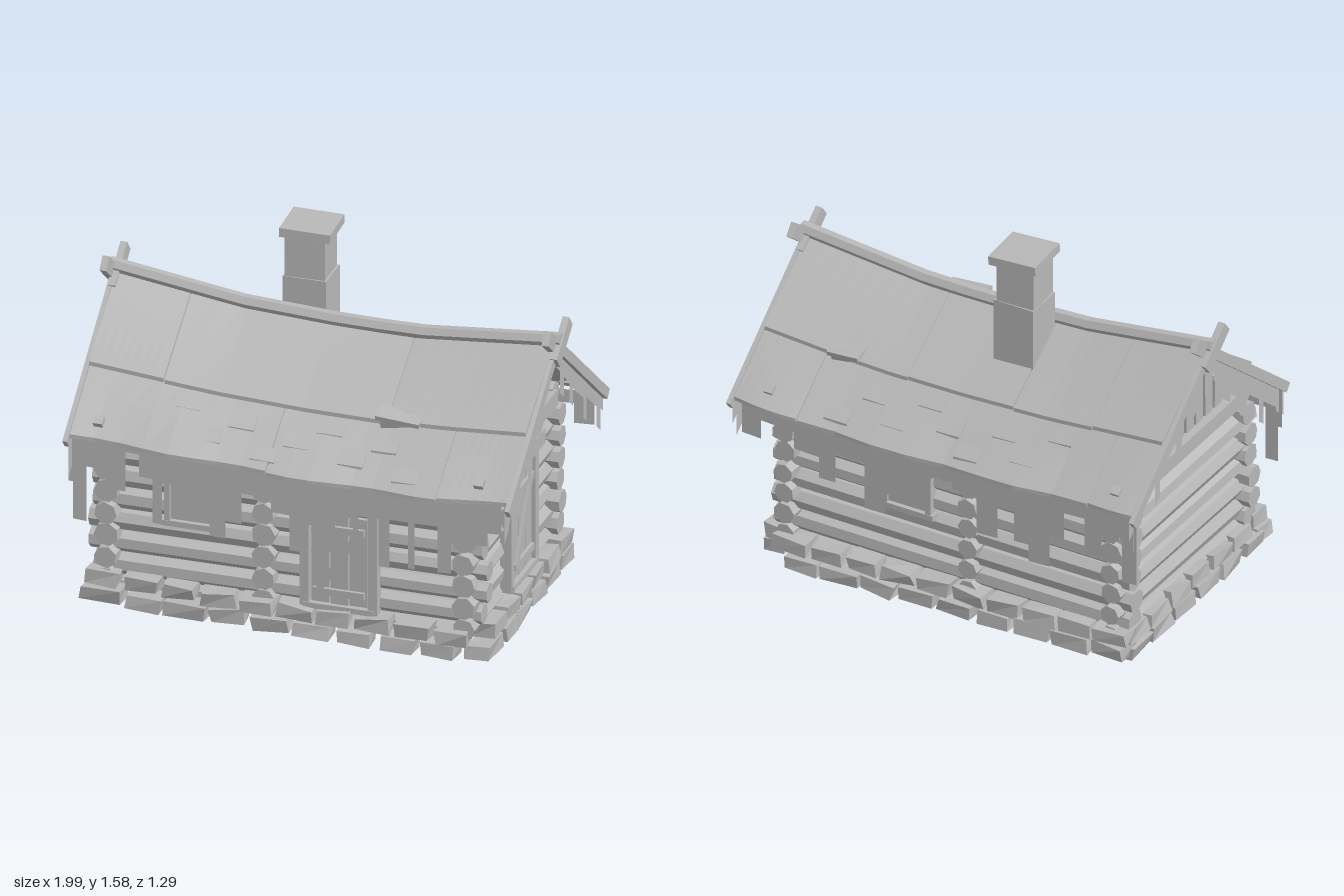
import * as THREE from 'three';

const grey = new THREE.MeshStandardMaterial({ color: 0xb8b8b8, flatShading: true, side: THREE.DoubleSide });
grey.name = 'weathered grey';

// seeded random, centred on zero
function randomiser(seed) {
  return () => {
    seed = (seed * 16807) % 2147483647;
    return seed / 2147483647 - 0.5;
  };
}

// sagging roof surface
function pick(points, x) {
  if (x <= points[0][0]) return points[0][1];
  for (let i = 1; i < points.length; i++) {
    const [a, ya] = points[i - 1], [b, yb] = points[i];
    if (x <= b) return ya + (yb - ya) * (x - a) / (b - a);
  }
  return points[points.length - 1][1];
}
const ridgeY = x => pick([[-1, 1.31], [-0.4, 1.225], [0, 1.205], [0.35, 1.2], [1, 1.26]], x);
const eaveY = x => pick([[-1, 0.8], [-0.5, 0.775], [0, 0.755], [0.6, 0.75], [1, 0.77]], x);
const roofY = (x, z) => ridgeY(x) + (eaveY(x) - ridgeY(x)) * Math.abs(z) / 0.62;

export function createModel() {
  const model = new THREE.Group();
  model.name = 'logCabin';
  const rnd = randomiser(4242);

  function add(name, geo, x = 0, y = 0, z = 0, rx = 0, ry = 0, rz = 0) {
    const mesh = new THREE.Mesh(geo, grey);
    mesh.name = name;
    mesh.position.set(x, y, z);
    mesh.rotation.set(rx, ry, rz);
    model.add(mesh);
    return mesh;
  }
  const box = (name, w, h, d, ...place) => add(name, new THREE.BoxGeometry(w, h, d), ...place);

  // rough stone: a box with its eight corners pushed about
  function stone(w, h, d, x, y, z, ry) {
    const geo = new THREE.BoxGeometry(w, h, d), p = geo.attributes.position;
    const push = Array.from({ length: 8 }, () => [rnd() * 0.02, rnd() * 0.012, rnd() * 0.02]);
    for (let i = 0; i < p.count; i++) {
      const c = push[(p.getX(i) > 0 ? 1 : 0) + (p.getY(i) > 0 ? 2 : 0) + (p.getZ(i) > 0 ? 4 : 0)];
      p.setXYZ(i, p.getX(i) + c[0], p.getY(i) + c[1], p.getZ(i) + c[2]);
    }
    add('foundationStone', geo, x, y, z, 0, ry, rnd() * 0.12);
  }
  for (const [y, out, step] of [[0.07, 0.01, 0.185], [0.138, 0, 0.17]]) {
    for (const s of [-1, 1]) {
      for (let x = -0.83; x < 0.83; x += step)
        stone(step * (0.88 + rnd() * 0.2), 0.06, 0.1, x, y - x * 0.025 + rnd() * 0.012, s * (0.54 + out), rnd() * 0.12);
      for (let z = -0.46; z < 0.5; z += step)
        stone(0.1, 0.062, step * (0.84 + rnd() * 0.2), s * (0.83 + out) - 0.025, y - s * 0.012 + rnd() * 0.01, z, rnd() * 0.12);
    }
  }

  // floor boards
  for (let i = 0; i < 6; i++) box('floorBoard', 1.6, 0.025, 0.168, -0.035, 0.12, -0.425 + i * 0.17);

  // log walls with crossed corners
  function log(name, length, x, y, z, alongX) {
    const r = 0.051 + rnd() * 0.006;
    const geo = new THREE.CylinderGeometry(r, r * (0.92 + rnd() * 0.1), length * (1 + rnd() * 0.03), 7);
    geo.rotateY(rnd() * 0.8);
    if (alongX) geo.rotateZ(Math.PI / 2); else geo.rotateX(Math.PI / 2);
    add(name, geo, x, y, z);
  }
  for (let i = 0; i < 6; i++) {
    for (const z of [-0.475, 0.475]) log('longWallLog', 1.72, -0.035, 0.205 + i * 0.1, z, true);
    for (const x of [-0.82, -0.13, 0.75]) log('crossWallLog', 1.12, x, 0.155 + i * 0.1, 0, false);
  }
  for (const z of [-0.475, 0.475]) log('topPlate', 1.66, -0.035, 0.8, z, true);

  // gable ends: tie beam and spaced vertical planks
  for (const x of [-0.82, 0.77]) {
    box('tieBeam', 0.07, 0.07, 0.92, x + Math.sign(x) * 0.01, 0.785, 0);
    for (let i = -5; i <= 5; i++) {
      const z = i * 0.078, top = roofY(x, z) - 0.05 + rnd() * 0.03;
      box('gablePlank', 0.02, top - 0.78, 0.06, x, (top + 0.78) / 2, z, rnd() * 0.04);
    }
  }

  // plank door with frame and Z brace, built facing +z
  function door(name, w, h) {
    const group = new THREE.Group();
    group.name = name;
    const part = (n, bw, bh, bd, x, y, z, rz = 0) => group.add(box(n, bw, bh, bd, x, y, z, 0, 0, rz));
    for (const s of [-1, 1]) part('doorPost', 0.04, h + 0.03, 0.05, s * (w / 2 + 0.025), h / 2, 0);
    part('doorLintel', w + 0.2, 0.065, 0.06, 0, h + 0.045, 0.005);
    part('doorSill', w + 0.06, 0.025, 0.06, 0, 0, 0);
    for (let i = -1; i <= 1; i++) part('doorPlank', w / 3 - 0.006, h - 0.02 - Math.abs(i) * 0.01, 0.02, i * w / 3, h / 2, 0);
    const y0 = h * 0.16, y1 = h * 0.83, run = w * 0.72;
    for (const y of [y0, y1]) part('doorBar', w * 0.9, 0.03, 0.015, 0, y, 0.018);
    part('doorBrace', Math.hypot(run, y1 - y0), 0.03, 0.014, 0, (y0 + y1) / 2, 0.018, Math.atan2(y1 - y0, run));
    model.add(group);
    return group;
  }
  const sideDoor = door('sideDoor', 0.26, 0.49);
  sideDoor.position.set(0.805, 0.18, 0);
  sideDoor.rotation.y = Math.PI / 2;
  door('frontDoor', 0.25, 0.43).position.set(0.2, 0.17, 0.53);

  // framed windows
  for (const [s, x] of [[1, -0.45], [-1, 0.17]]) {
    box('windowShutter', 0.19, 0.18, 0.02, x, 0.55, s * 0.52);
    for (const k of [-1, 1]) {
      box('windowJamb', 0.025, 0.23, 0.04, x + k * 0.105, 0.55, s * 0.525);
      box('windowRail', 0.26, 0.025, 0.045, x, 0.55 + k * 0.105, s * 0.525);
    }
  }

  // roof sheet: a thin box draped over the sagging roof surface
  function sheet(name, x0, x1, z0, z1, side, lift0, lift1, thick = 0.018, wave = 0) {
    const geo = new THREE.BoxGeometry(x1 - x0, thick, z1 - z0, 8, 1, 2);
    geo.translate((x0 + x1) / 2, 0, side * (z0 + z1) / 2);
    const p = geo.attributes.position;
    for (let i = 0; i < p.count; i++) {
      const x = p.getX(i), z = p.getZ(i), t = (Math.abs(z) - z0) / (z1 - z0);
      p.setY(i, p.getY(i) + roofY(x, z) + lift0 + (lift1 - lift0) * t);
      p.setZ(i, z + side * wave * t * Math.sin(x * 11 + side));
    }
    add(name, geo);
  }
  const seams = { 1: [[-0.96, -0.63, 0.35, 0.96], [-0.96, -0.1, 0.65, 0.96]], '-1': [[-0.96, -0.62, -0.24, 0.27, 0.96], [-0.96, -0.74, 0.66, 0.96]] };
  for (const side of [1, -1]) {
    const [upper, lower] = seams[side];
    for (let i = 1; i < upper.length; i++)
      sheet('upperRoofSheet', upper[i - 1] + 0.002, upper[i] - 0.002, 0, 0.365, side, 0, 0.024 + (i % 2) * 0.005);
    for (let i = 1; i < lower.length; i++)
      sheet('lowerRoofSheet', lower[i - 1] + 0.002, lower[i] - 0.002, 0.32, 0.612, side, 0, (i % 2) * 0.006, 0.018, 0.01);
    // flush shingles, pegs and a lifted slab
    for (let i = 0; i < 9; i++) {
      const x = -0.56 + i * 0.125, z = 0.38 + ((i * 3) % 5) * 0.035;
      sheet('shingle', x, x + 0.11, z, z + 0.055, side, 0.004, 0.006);
    }
    for (const x of [-0.85, 0.82]) box('roofPeg', 0.04, 0.04, 0.04, x, roofY(x, 0.55) + 0.015, side * 0.55, side * 0.6);
    const hx = side > 0 ? 0.4 : 0.57, w = side > 0 ? 0.19 : 0.15;
    box('liftedSlab', w, 0.02, 0.09, hx, roofY(hx, 0.35) + 0.04, side * 0.345, side * 0.2, 0, -0.08);
    box('slabProp', w * 0.85, 0.06, 0.06, hx, roofY(hx, 0.34) + 0.01, side * 0.34, side * 0.3, 0.15, 0);
  }

  // ridge log following the sag
  const ridge = new THREE.CylinderGeometry(0.032, 0.032, 1.98, 6, 10);
  ridge.rotateZ(Math.PI / 2);
  const rp = ridge.attributes.position;
  for (let i = 0; i < rp.count; i++) rp.setY(i, rp.getY(i) + ridgeY(rp.getX(i)) + 0.018);
  add('ridgeLog', ridge);

  // narrow barge boards with heavier crossed finials at the ridge
  for (const x of [-0.97, 0.97]) {
    const slope = (ridgeY(x) - eaveY(x)) / 0.62, angle = Math.atan(slope);
    for (const s of [-1, 1]) {
      box('bargeBoard', 0.02, 0.045, 0.63 / Math.cos(angle), x, ridgeY(x) - slope * 0.315 - 0.01, s * 0.315, s * angle);
      box('ridgeFinial', 0.03, 0.065, 0.16 / Math.cos(angle), x + s * 0.012, ridgeY(x) + slope * 0.02 - 0.015, s * -0.02, s * angle);
    }
  }

  // ragged hanging fringe: [start, end, drop] steps under an upper edge
  function fringe(name, steps, top) {
    const shape = new THREE.Shape();
    shape.moveTo(steps[0][0], top(steps[0][0]));
    for (const [a, b, drop] of steps) {
      shape.lineTo(a, top(a) - drop);
      shape.lineTo(b, top(b) - drop);
    }
    for (const [a] of [...steps, [steps[steps.length - 1][1]]].reverse()) shape.lineTo(a, top(a));
    return add(name, new THREE.ShapeGeometry(shape));
  }
  const frontSteps = [
    [-0.97, -0.95, 0.2], [-0.95, -0.89, 0.37], [-0.89, -0.79, 0.12], [-0.79, -0.72, 0.2], [-0.72, -0.66, 0.02],
    [-0.66, -0.6, 0.12], [-0.6, -0.56, 0.32], [-0.56, -0.35, 0.13], [-0.35, -0.28, 0.33], [-0.28, -0.21, 0.25],
    [-0.21, -0.08, 0.11], [-0.08, 0, 0.17], [0, 0.08, 0.33], [0.08, 0.17, 0.2], [0.17, 0.2, 0.31],
    [0.2, 0.28, 0.14], [0.28, 0.3, 0.3], [0.3, 0.39, 0.11], [0.39, 0.44, 0.34], [0.44, 0.52, 0.12],
    [0.52, 0.55, 0.33], [0.55, 0.65, 0.12], [0.65, 0.71, 0.33], [0.71, 0.87, 0.19], [0.87, 0.93, 0.13]];
  const backSteps = [
    [-0.97, -0.9, 0.33], [-0.9, -0.8, 0.12], [-0.8, -0.72, 0.24], [-0.72, -0.62, 0.07], [-0.62, -0.55, 0.2],
    [-0.55, -0.45, 0.35], [-0.45, -0.38, 0.27], [-0.38, -0.3, 0.13], [-0.3, -0.2, 0.28], [-0.2, -0.08, 0.1],
    [-0.08, 0.04, 0.07], [0.04, 0.14, 0.12], [0.14, 0.24, 0.22], [0.24, 0.34, 0.32], [0.34, 0.48, 0.1],
    [0.48, 0.56, 0.24], [0.56, 0.68, 0.14], [0.68, 0.84, 0.06], [0.84, 0.93, 0.15]];
  fringe('frontEaveFringe', frontSteps, eaveY).position.z = 0.595;
  fringe('backEaveFringe', backSteps, eaveY).position.z = -0.595;

  const gableSteps = [
    [-0.63, -0.6, 0.08], [-0.6, -0.55, 0.18], [-0.55, -0.42, 0.09], [-0.42, -0.38, 0.2], [-0.38, -0.25, 0.11],
    [-0.25, -0.2, 0.19], [-0.2, -0.13, 0.1], [-0.13, -0.08, 0.19], [-0.08, 0, 0.09], [0, 0.06, 0.09],
    [0.06, 0.13, 0.13], [0.13, 0.2, 0.2], [0.2, 0.27, 0.16], [0.27, 0.33, 0.24], [0.33, 0.43, 0.12],
    [0.43, 0.47, 0.23], [0.47, 0.57, 0.12], [0.57, 0.63, 0.14]];
  for (const x of [-0.955, 0.955]) {
    const rag = fringe('gableFringe', gableSteps, z => roofY(x, z) - 0.01);
    rag.rotation.y = -Math.PI / 2;
    rag.position.x = x;
  }

  // chimney in stacked blocks with a cap
  box('chimneyBase', 0.19, 0.3, 0.18, -0.15, 1.22, -0.12);
  box('chimneyStack', 0.175, 0.22, 0.17, -0.152, 1.46, -0.12, 0, 0.03, 0);
  box('chimneyCap', 0.22, 0.04, 0.22, -0.148, 1.575, -0.12, 0, 0.05, -0.03);

  return model;
}
